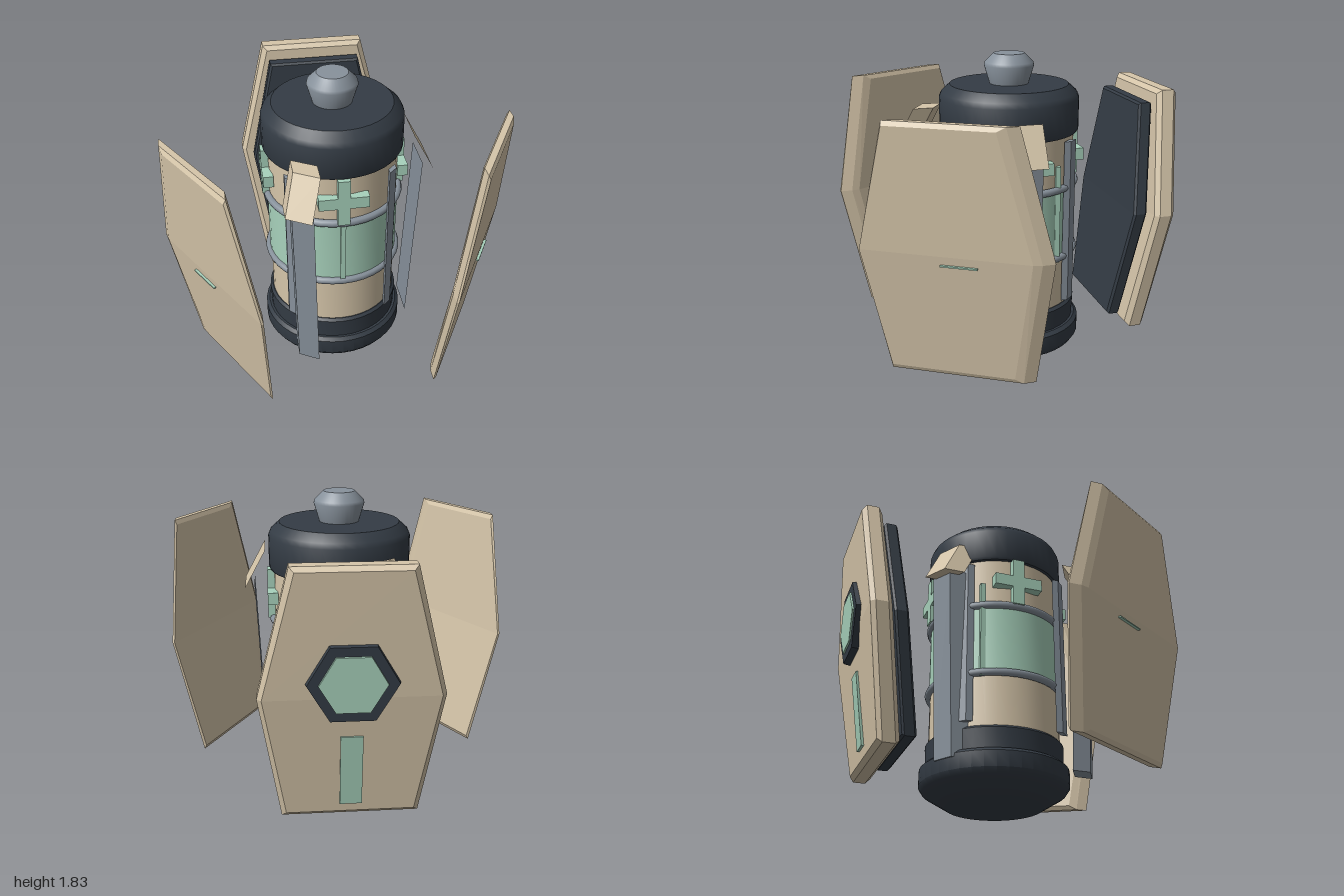
import * as THREE from 'three';
import { toCreasedNormals } from 'three/addons/utils/BufferGeometryUtils.js';

const material = (name, color, side = THREE.FrontSide) => {
  const m = new THREE.MeshStandardMaterial({ color, side });
  m.name = name;
  return m;
};

// Slab whose rows [halfWidth, y, radius] are turned to angle a, then thickened along z.
function slabGeometry(a, rows, z0, z1, bevel = 0) {
  const c = Math.cos(a), s = Math.sin(a), flip = s > 1e-6 ? -1 : 1;
  const yMid = (rows[0][1] + rows[rows.length - 1][1]) / 2;
  const n = rows.length;
  const loop = (z, inset) => {
    const point = ([half, y, r], side) => {
      const t = side * flip * (half - inset);
      const yy = y - Math.sign(Math.round((y - yMid) * 10)) * inset;
      return [r * c - t * s, yy, r * s + t * c + z];
    };
    return [...rows.map(q => point(q, 1)), ...[...rows].reverse().map(q => point(q, -1))];
  };
  const loops = bevel
    ? [loop(z0, bevel), loop(z0 + bevel, 0), loop(z1 - bevel, 0), loop(z1, bevel)]
    : [loop(z0, 0), loop(z1, 0)];
  const pos = [];
  const quad = (A, B, C, D) => pos.push(...A, ...B, ...C, ...A, ...C, ...D);
  for (let k = 0; k < loops.length - 1; k++) {
    for (let i = 0; i < 2 * n; i++) {
      const j = (i + 1) % (2 * n);
      quad(loops[k][i], loops[k][j], loops[k + 1][j], loops[k + 1][i]);
    }
  }
  const back = loops[0], front = loops[loops.length - 1], m = 2 * n - 1;
  for (let i = 0; i < n - 1; i++) {
    quad(front[m - i], front[i], front[i + 1], front[m - i - 1]);
    quad(back[i], back[m - i], back[m - i - 1], back[i + 1]);
  }
  const g = new THREE.BufferGeometry();
  g.setAttribute('position', new THREE.Float32BufferAttribute(pos, 3));
  g.computeVertexNormals();
  return g;
}

export function createModel() {
  const tan = material('tan shell', 0xd6c6aa, THREE.DoubleSide);
  const dark = material('dark slate', 0x343c45);
  const mint = material('mint', 0xa8d2bc);
  const steel = material('steel', 0x88929c, THREE.DoubleSide);

  const model = new THREE.Group();
  const core = new THREE.Group();
  core.name = 'core';
  core.position.z = -0.03;
  model.add(core);

  const add = (parent, name, geometry, mat) => {
    const mesh = new THREE.Mesh(geometry, mat);
    mesh.name = name;
    parent.add(mesh);
    return mesh;
  };
  const lathe = (name, points, mat) => add(core, name, toCreasedNormals(
    new THREE.LatheGeometry(points.map(p => new THREE.Vector2(...p)), 40), 0.6), mat);

  // Canister
  lathe('base', [[0, 0], [0.28, 0], [0.41, 0.08], [0.43, 0.11], [0.43, 0.2], [0.41, 0.22], [0, 0.22]], dark);
  lathe('baseCollar', [[0.395, 0.21], [0.4, 0.34], [0.385, 0.355], [0, 0.355]], dark);
  lathe('body', [[0.38, 0.35], [0.38, 1.4]], tan);
  lathe('glowBand', [[0.378, 0.65], [0.388, 0.66], [0.388, 1.09], [0.378, 1.1]], mint);
  lathe('lid', [[0, 1.385], [0.4, 1.385], [0.408, 1.4], [0.408, 1.58], [0.395, 1.61], [0.345, 1.655], [0, 1.655]], dark);
  lathe('knob', [[0.112, 1.65], [0.145, 1.76], [0.14, 1.778], [0.09, 1.828], [0, 1.83]], steel);

  // Hoops around the band
  for (const y of [0.665, 1.085]) {
    const hoop = add(core, 'hoop', new THREE.TorusGeometry(0.39, 0.023, 8, 40), steel);
    hoop.rotation.x = Math.PI / 2;
    hoop.position.y = y;
  }

  // Four upright bars and four crosses
  for (let i = 0; i < 4; i++) {
    const a = Math.PI / 4 + i * Math.PI / 2;
    add(core, 'uprightBar', slabGeometry(a, [[0.033, 0.38, 0.41], [0.033, 1.36, 0.41]], -0.01, 0.03), steel);
    const cross = new THREE.Group();
    cross.name = 'cross';
    cross.rotation.y = i * Math.PI / 2;
    core.add(cross);
    for (const [w, h] of [[0.07, 0.29], [0.285, 0.07]]) {
      add(cross, 'crossArm', new THREE.BoxGeometry(w, h, 0.06), mint).position.set(0, 1.235, 0.39);
    }
  }

  // Three mint rods
  for (let i = 0; i < 3; i++) {
    const a = Math.PI / 2 + i * Math.PI * 2 / 3;
    add(core, 'mintRod', new THREE.BoxGeometry(0.03, 0.58, 0.03), mint)
      .position.set(0.385 * Math.cos(a), 0.935, 0.385 * Math.sin(a));
  }

  // Three legs with slanted caps
  for (let i = 0; i < 3; i++) {
    const a = i * Math.PI * 2 / 3;
    add(model, 'leg', slabGeometry(a, [[0.065, 0.18, 0.445], [0.065, 1.3, 0.495]], -0.02, 0.09), steel);
    add(model, 'legCap', slabGeometry(a, [[0.078, 1.28, 0.55], [0.078, 1.5, 0.43]], -0.02, 0.1), tan);
  }

  // Three floating shield panels
  const panelRows = [[0.375, 0.18, 0.765], [0.49, 0.92, 0.87], [0.315, 1.625, 0.925]];
  for (let i = 0; i < 3; i++) {
    const a = -Math.PI / 2 + i * Math.PI * 2 / 3;
    add(model, 'shieldPanel', slabGeometry(a, panelRows, -0.025, 0.095, 0.025), tan);
  }

  // Lining and badge of the back panel
  const back = -Math.PI / 2;
  add(model, 'panelLining', slabGeometry(back,
    [[0.315, 0.25, 0.65], [0.42, 0.92, 0.75], [0.28, 1.55, 0.81]], 0, 0.08, 0.012), dark);
  const hexagon = (name, r, depth, z, mat) => {
    const g = new THREE.CylinderGeometry(r - 0.012, r, depth, 6);
    g.rotateY(Math.PI / 6);
    g.rotateX(-Math.PI / 2);
    const mesh = add(model, name, toCreasedNormals(g, 0.3), mat);
    mesh.position.set(0, 1.01, z);
    mesh.rotation.x = -0.06;
  };
  hexagon('badgeFrame', 0.25, 0.07, -0.895, dark);
  hexagon('badgeGem', 0.19, 0.08, -0.9, mint);
  add(model, 'mintStrip', slabGeometry(back,
    [[0.06, 0.26, 0.805], [0.06, 0.69, 0.865]], -0.008, 0.03), mint);

  // Fine mint line on each side panel
  for (const s of [-1, 1]) {
    const line = add(model, 'mintLine', new THREE.BoxGeometry(0.2, 0.008, 0.02), mint);
    line.position.set(s * 0.79, 0.87, 0.462);
    line.rotation.y = s * Math.PI / 3;
  }
  return model;
}
